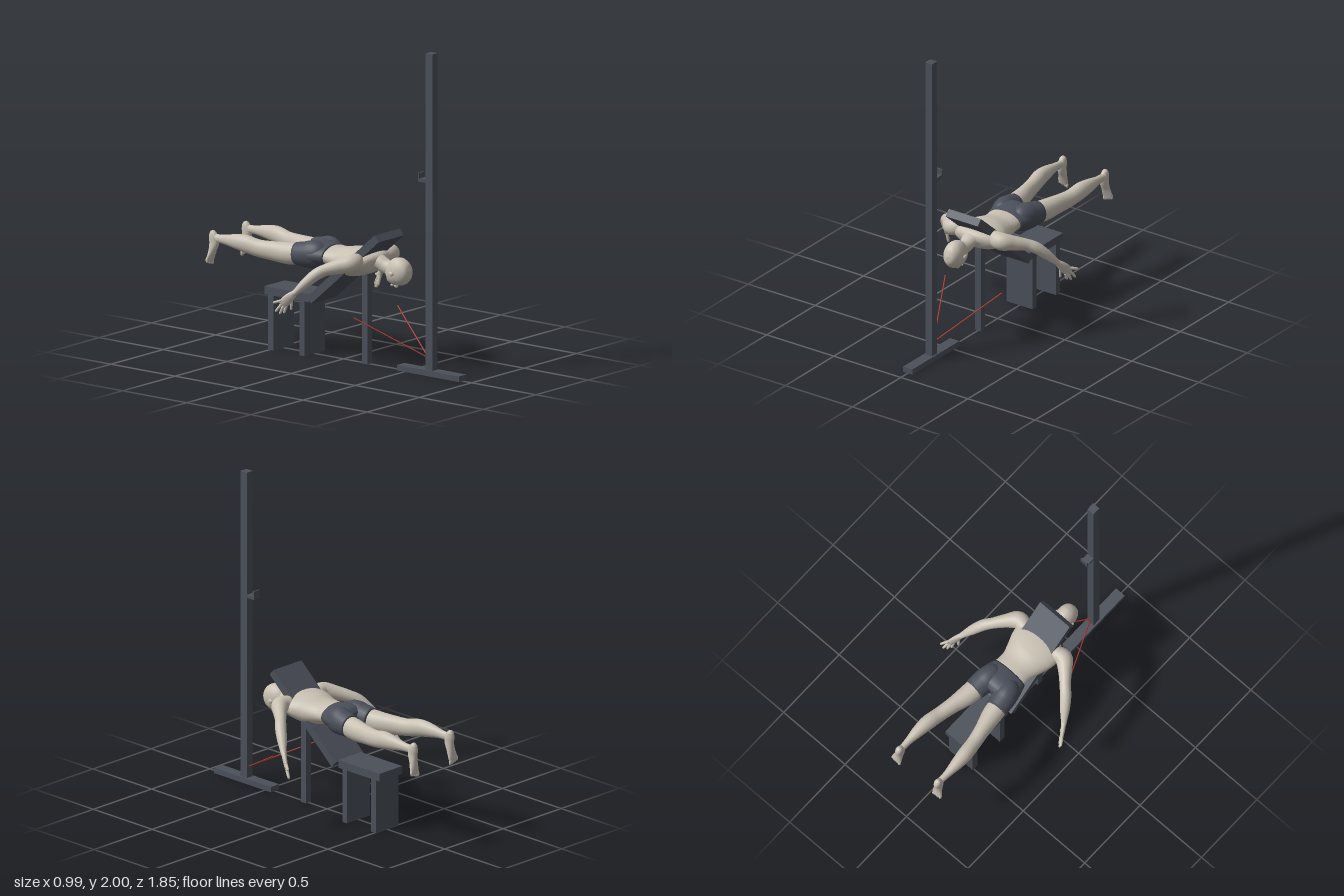
import * as THREE from 'three';

const V = (x, y, z) => new THREE.Vector3(x, y, z);
const UP = V(0, 1, 0), FRONT = V(0, 0, 1);

const mat = (name, color) => {
  const m = new THREE.MeshStandardMaterial({ color });
  m.name = name;
  return m;
};

// Closed smooth tube of elliptical sections; each ring is [x, y, z, radiusU, radiusV]
function loft(rings, ref = UP, sides = 24, steps = 5) {
  const centres = new THREE.CatmullRomCurve3(rings.map(r => V(r[0], r[1], r[2])), false, 'catmullrom');
  const radii = new THREE.CatmullRomCurve3(rings.map(r => V(r[3], r[4] ?? r[3], 0)), false, 'catmullrom');
  const n = (rings.length - 1) * steps;
  const pos = [], index = [];
  for (let i = 0; i <= n; i++) {
    const c = centres.getPoint(i / n), r = radii.getPoint(i / n);
    const t = centres.getTangent(i / n);
    const u = ref.clone().cross(t).normalize();
    const v = t.clone().cross(u);
    for (let j = 0; j < sides; j++) {
      const a = (j / sides) * Math.PI * 2;
      const p = c.clone().addScaledVector(u, Math.cos(a) * r.x).addScaledVector(v, Math.sin(a) * r.y);
      pos.push(p.x, p.y, p.z);
      if (i < n) {
        const k = (j + 1) % sides, A = i * sides + j, B = i * sides + k;
        index.push(A, B, A + sides, B, B + sides, A + sides);
      }
    }
  }
  // end caps
  const first = centres.getPoint(0), last = centres.getPoint(1), f = pos.length / 3;
  pos.push(first.x, first.y, first.z, last.x, last.y, last.z);
  for (let j = 0; j < sides; j++) {
    const k = (j + 1) % sides;
    index.push(f, k, j, f + 1, n * sides + j, n * sides + k);
  }
  const g = new THREE.BufferGeometry();
  g.setAttribute('position', new THREE.Float32BufferAttribute(pos, 3));
  g.setIndex(index);
  g.computeVertexNormals();
  return g;
}

export function createModel() {
  const model = new THREE.Group();
  const skin = mat('skin', 0xc8c0b2);
  const frame = mat('dark frame', 0x4b505a);
  const cloth = mat('shorts cloth', 0x4a4f5a);
  const red = mat('red cable', 0xb5382e);

  const add = (name, geo, material) => {
    const m = new THREE.Mesh(geo, material);
    m.name = name;
    model.add(m);
    return m;
  };
  // box from its extents, centred on x
  const box = (name, width, y0, y1, z0, z1) => {
    const m = add(name, new THREE.BoxGeometry(width, y1 - y0, z1 - z0), frame);
    m.position.set(0, (y0 + y1) / 2, (z0 + z1) / 2);
  };
  const ball = (name, x, y, z, sx, sy, sz) => {
    const m = add(name, new THREE.SphereGeometry(1, 20, 14), skin);
    m.position.set(x, y, z);
    m.scale.set(sx, sy, sz);
  };

  // stand with hook
  box('standBase', 0.07, 0, 0.035, 0.445, 0.93);
  box('standPost', 0.05, 0.035, 2, 0.66, 0.713);
  box('hookArm', 0.05, 1.195, 1.215, 0.6, 0.66);
  box('hookLip', 0.05, 1.215, 1.25, 0.6, 0.61);

  // bench
  box('benchSeat', 0.195, 0.34, 0.39, -0.54, -0.19);
  box('benchLegInner', 0.195, 0, 0.34, -0.265, -0.225);
  box('benchLegOuter', 0.195, 0, 0.34, -0.51, -0.467);
  box('padSupport', 0.045, 0, 0.63, 0.16, 0.203);
  const pad = add('inclinedPad', new THREE.BoxGeometry(0.24, 0.05, 0.7), frame);
  pad.position.set(0, 0.59, 0.0915);
  pad.rotation.x = -41 * Math.PI / 180;

  // torso, neck and head
  add('torso', loft([
    [0, 0.655, 0.295, 0.045, 0.03], [0, 0.655, 0.265, 0.12, 0.05], [0, 0.645, 0.22, 0.165, 0.073],
    [0, 0.632, 0.15, 0.165, 0.087], [0, 0.622, 0.08, 0.143, 0.09], [0, 0.626, 0, 0.117, 0.072],
    [0, 0.635, -0.07, 0.118, 0.063], [0, 0.635, -0.1, 0.118, 0.06],
  ], UP, 36), skin);
  add('neck', loft([
    [0, 0.615, 0.41, 0.04, 0.045], [0, 0.622, 0.34, 0.042, 0.045],
    [0, 0.64, 0.29, 0.055, 0.047], [0, 0.65, 0.24, 0.085, 0.055],
  ]), skin);
  add('head', loft([
    [0, 0.62, 0.52, 0.004, 0.005], [0, 0.618, 0.508, 0.037, 0.047], [0, 0.613, 0.475, 0.057, 0.078],
    [0, 0.607, 0.435, 0.061, 0.087], [0, 0.592, 0.4, 0.055, 0.078], [0, 0.58, 0.375, 0.045, 0.068],
    [0, 0.57, 0.357, 0.03, 0.048], [0, 0.57, 0.35, 0.008, 0.015],
  ], UP, 32), skin);
  ball('nose', 0, 0.516, 0.41, 0.01, 0.014, 0.016);
  ball('mouth', 0, 0.517, 0.382, 0.018, 0.009, 0.009);

  // shorts
  add('shortsHips', loft([
    [0, 0.635, -0.068, 0.122, 0.066], [0, 0.635, -0.12, 0.139, 0.077], [0, 0.636, -0.17, 0.15, 0.081],
    [0, 0.632, -0.21, 0.148, 0.072], [0, 0.63, -0.235, 0.13, 0.05],
  ], UP, 36), cloth);

  for (const s of [1, -1]) {
    const side = s > 0 ? 'left' : 'right';
    const limb = (name, rings, material = skin, ref = UP, sides = 24) =>
      add(side + name, loft(rings.map(([x, ...r]) => [s * x, ...r]), ref, sides), material);

    limb('Ear', [
      [0.058, 0.598, 0.437, 0.003], [0.063, 0.6, 0.43, 0.008, 0.013],
      [0.064, 0.602, 0.415, 0.007, 0.013], [0.058, 0.603, 0.4, 0.003],
    ], skin, UP, 12);

    // shorts leg and bare leg
    limb('ShortsLeg', [
      [0.06, 0.637, -0.09, 0.04, 0.05], [0.067, 0.638, -0.13, 0.066, 0.078], [0.075, 0.637, -0.18, 0.075, 0.086],
      [0.083, 0.632, -0.23, 0.074, 0.078], [0.089, 0.628, -0.292, 0.068, 0.07],
    ], cloth);
    limb('Leg', [
      [0.087, 0.628, -0.26, 0.064, 0.066], [0.1, 0.622, -0.35, 0.06, 0.067], [0.12, 0.625, -0.45, 0.048, 0.06],
      [0.139, 0.631, -0.55, 0.044, 0.054], [0.152, 0.648, -0.64, 0.045, 0.054], [0.157, 0.652, -0.72, 0.037, 0.044],
      [0.158, 0.651, -0.8, 0.024, 0.03], [0.157, 0.65, -0.85, 0.02, 0.026], [0.157, 0.652, -0.89, 0.02, 0.026],
    ]);
    limb('Foot', [
      [0.157, 0.693, -0.9, 0.008, 0.008], [0.157, 0.682, -0.895, 0.019, 0.021], [0.157, 0.655, -0.887, 0.024, 0.033],
      [0.157, 0.62, -0.882, 0.024, 0.034], [0.16, 0.57, -0.893, 0.028, 0.023],
      [0.165, 0.525, -0.904, 0.035, 0.015], [0.166, 0.502, -0.908, 0.033, 0.01],
    ], skin, FRONT);
    for (let i = 0; i < 5; i++) {
      ball(side + 'Toe', s * (0.14 + i * 0.0135), 0.497 + i * 0.004, -0.909, i ? 0.0075 : 0.01, 0.018, 0.009);
    }

    // arm
    limb('Arm', [
      [0.11, 0.66, 0.2, 0.04, 0.045], [0.18, 0.657, 0.217, 0.055, 0.055], [0.24, 0.642, 0.165, 0.042, 0.046],
      [0.295, 0.622, 0.105, 0.034, 0.037], [0.335, 0.597, 0.065, 0.035, 0.036], [0.375, 0.545, 0.015, 0.031, 0.031],
      [0.41, 0.49, -0.032, 0.02, 0.02], [0.422, 0.47, -0.05, 0.017, 0.017],
    ]);

    // hand with spread fingers
    const palmNormal = V(s * 0.77, -0.1, 0.6);
    limb('Palm', [
      [0.412, 0.487, -0.035, 0.016, 0.017], [0.435, 0.447, -0.07, 0.03, 0.014],
      [0.452, 0.41, -0.1, 0.031, 0.011], [0.457, 0.4, -0.106, 0.022, 0.006],
    ], skin, palmNormal, 16);
    const fingers = [
      [[0.424, 0.44, -0.06], [0.416, 0.368, -0.07]],
      [[0.44, 0.397, -0.088], [0.442, 0.348, -0.105]],
      [[0.449, 0.403, -0.098], [0.457, 0.342, -0.127]],
      [[0.457, 0.41, -0.107], [0.476, 0.357, -0.146]],
      [[0.46, 0.43, -0.107], [0.491, 0.415, -0.152]],
    ];
    for (const [a, b] of fingers) {
      const at = (t, r) => [...a.map((v, i) => v + (b[i] - v) * t), r];
      limb('Finger', [at(0, 0.009), at(0.5, 0.009), at(0.9, 0.007), at(1, 0.002)], skin, palmNormal, 10);
    }

    // cable from the foot of the post
    const start = V(0, 0.105, 0.662), end = V(s * 0.21, 0.33, 0.25);
    add(side + 'Cable', new THREE.TubeGeometry(new THREE.LineCurve3(start, end), 1, 0.004, 8), red);
  }
  return model;
}
